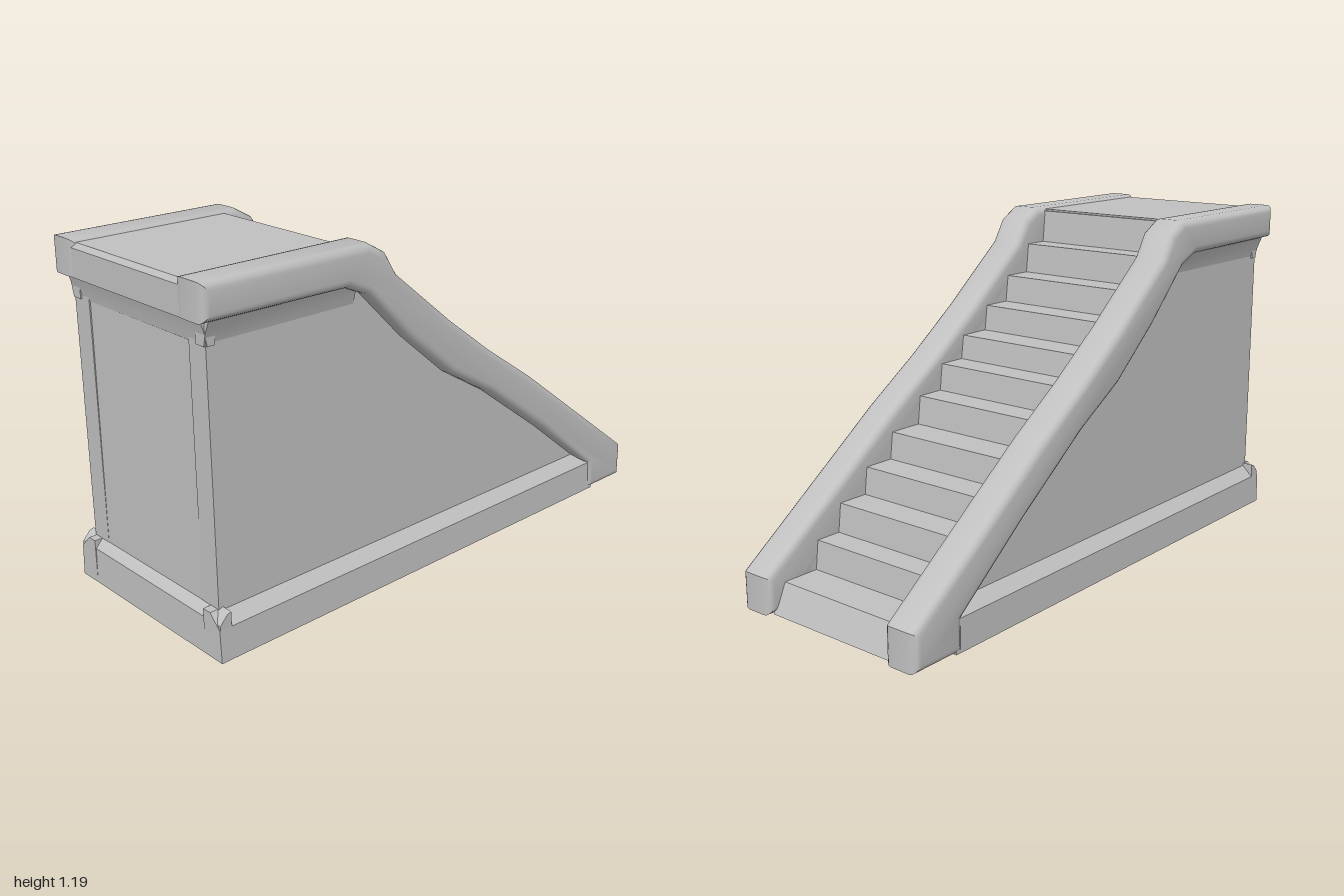
import * as THREE from 'three';
import { toCreasedNormals } from 'three/addons/utils/BufferGeometryUtils.js';

const stone = new THREE.MeshStandardMaterial({ color: 0xc0c0c0 });
stone.name = 'paleStone';

// Side profile in x and y, extruded from z0 to z1 with an optional rounded edge
function slab(name, points, z0, z1, bevel = 0) {
  const shape = new THREE.Shape(points.map(([x, y]) => new THREE.Vector2(x, y)));
  const geometry = new THREE.ExtrudeGeometry(shape, {
    depth: z1 - z0 - 2 * bevel,
    bevelEnabled: bevel > 0,
    bevelSize: bevel,
    bevelThickness: bevel,
    bevelOffset: -bevel,
    bevelSegments: 4,
  });
  geometry.translate(0, 0, z0 + bevel);
  const mesh = new THREE.Mesh(toCreasedNormals(geometry, 0.6), stone);
  mesh.name = name;
  return mesh;
}

// Cross-section in z and y, extruded along x
function moulding(name, section, x0, x1) {
  const mesh = slab(name, section.map(([z, y]) => [-z, y]), x0, x1);
  mesh.geometry.rotateY(Math.PI / 2);
  return mesh;
}

export function createModel() {
  const group = new THREE.Group();
  group.name = 'staircase';

  // Stair core: treads above, shallow hollow below
  const risers = [0.93, 0.785, 0.68, 0.555, 0.43, 0.29, 0.175, 0.06, -0.07, -0.19, -0.31, -0.41];
  const heights = [0.1, 0.2, 0.3, 0.395, 0.49, 0.59, 0.685, 0.77, 0.86, 0.955, 1.06, 1.175];
  const core = [[-0.955, 0], [-0.8, 0.1], [0, 0.2], [0.6, 0.1], [0.9, 0], [0.975, 0]];
  risers.forEach((x, i) => {
    if (i > 0) core.push([x + 0.012, heights[i - 1]]);
    core.push([x, heights[i]]);
  });
  core.push([-0.955, 1.175]);
  group.add(slab('steps', core, -0.27, 0.27));

  // Landing on top
  group.add(slab('landing', [[-0.998, 1.07], [-0.42, 1.07], [-0.42, 1.181], [-0.985, 1.181], [-0.998, 1.165]], -0.28, 0.28));

  const wall = [[-0.955, 0], [0.85, 0], [0.85, 0.15], [0.2, 0.63], [0, 0.76], [-0.38, 1.1], [-0.96, 1.1]];
  const rail = [
    [-1, 1.07], [-0.46, 1.065], [-0.38, 1.03], [-0.2, 0.85], [0, 0.68], [0.2, 0.56], [0.5, 0.34], [0.79, 0.11],
    [0.79, 0], [1, 0], [1, 0.13], [0.7, 0.355], [0.42, 0.565], [0.2, 0.715], [0, 0.865], [-0.25, 1.07],
    [-0.3, 1.15], [-0.37, 1.19], [-1, 1.19],
  ];
  for (const side of [1, -1]) {
    const half = new THREE.Group();
    half.name = side > 0 ? 'leftSide' : 'rightSide';
    const span = (a, b) => (side > 0 ? [a, b] : [-b, -a]);
    half.add(slab('sideWall', wall, ...span(0.26, 0.34)));
    half.add(slab('rail', rail, ...span(0.26, 0.39), 0.028));
    // Plinth along the foot of the wall, cove below the landing edge
    const plinth = [[0.3, 0], [0.385, 0], [0.38, 0.11], [0.335, 0.155], [0.3, 0.155]];
    const cove = [[0.3, 0.99], [0.338, 0.99], [0.348, 1.03], [0.372, 1.085], [0.3, 1.085]];
    half.add(moulding('plinth', plinth.map(([z, y]) => [z * side, y]), -0.985, 0.82));
    half.add(moulding('cove', cove.map(([z, y]) => [z * side, y]), -0.965, -0.4));
    group.add(half);
  }

  // Matching trim across the back end
  group.add(slab('backPlinth', [[-0.985, 0], [-0.94, 0], [-0.94, 0.16], [-0.955, 0.155], [-0.982, 0.125]], -0.38, 0.38));
  group.add(slab('backCove', [[-0.957, 0.99], [-0.93, 0.99], [-0.93, 1.085], [-0.985, 1.085], [-0.968, 1.04]], -0.345, 0.345));
  return group;
}
